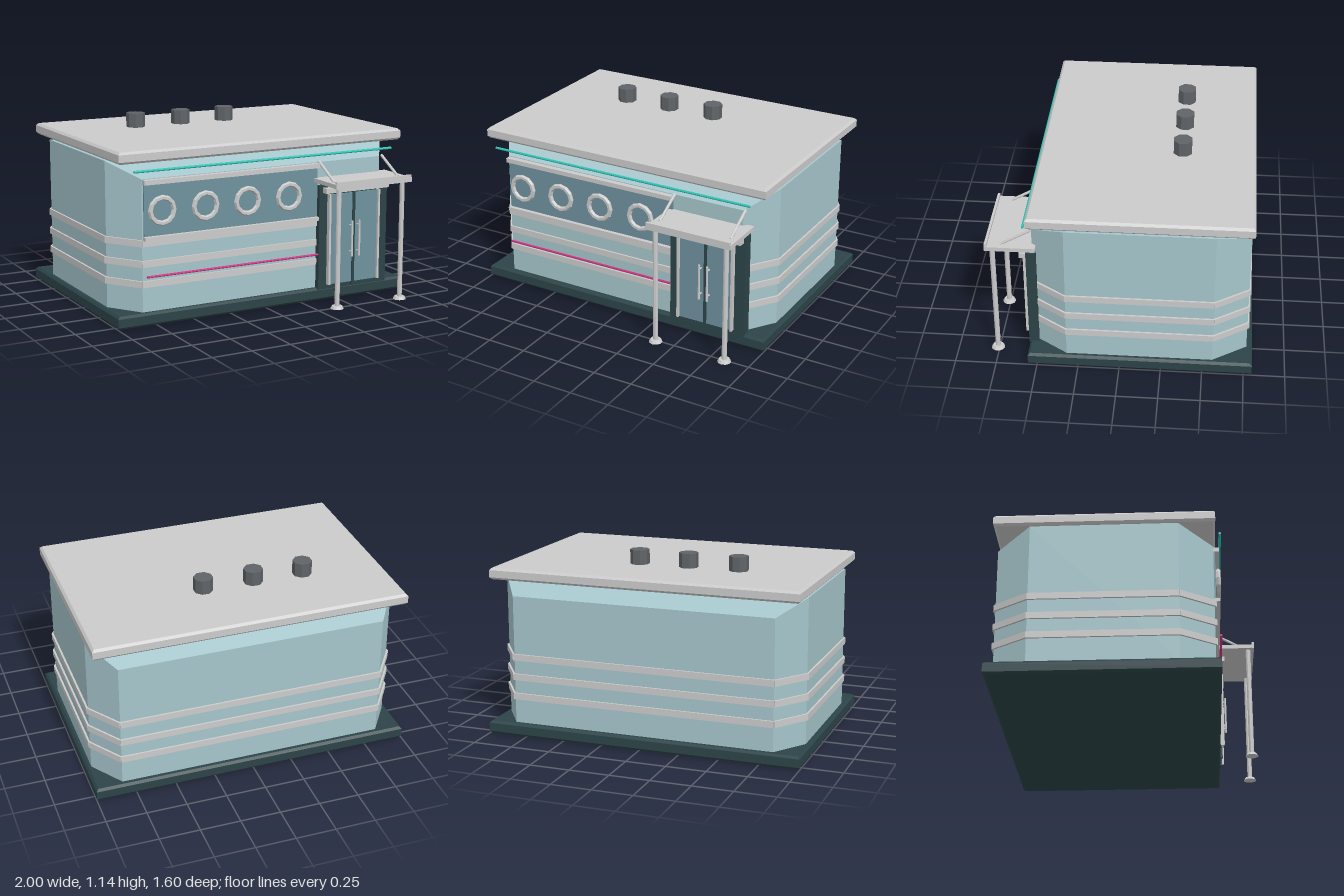
import * as THREE from 'three';

const mat = (color) => new THREE.MeshStandardMaterial({ color, flatShading: true });

export function createModel() {
  const root = new THREE.Group();
  const grey = mat(0xcccccc), wall = mat(0xa6c6cc), glass = mat(0x6f929e);
  const dark = mat(0x2c4448), vent = mat(0x5f6468), teal = mat(0x2fc4b4), pink = mat(0xd0307f);

  const add = (name, geo, m, x = 0, y = 0, z = 0) => {
    const mesh = new THREE.Mesh(geo, m);
    mesh.name = name;
    mesh.position.set(x, y, z);
    root.add(mesh);
    return mesh;
  };
  // box given by its extents on each axis
  const block = (name, m, x0, x1, y0, y1, z0, z1) =>
    add(name, new THREE.BoxGeometry(x1 - x0, y1 - y0, z1 - z0), m,
      (x0 + x1) / 2, (y0 + y1) / 2, (z0 + z1) / 2);
  // slab with chamfered edges
  const slab = (name, m, x0, x1, y0, y1, z0, z1, b) => {
    const s = new THREE.Shape([[x0 + b, -z0 - b], [x0 + b, -z1 + b], [x1 - b, -z1 + b], [x1 - b, -z0 - b]]
      .map((p) => new THREE.Vector2(...p)));
    const g = new THREE.ExtrudeGeometry(s, {
      depth: y1 - y0 - 2 * b, bevelEnabled: true, bevelSize: b, bevelThickness: b, bevelSegments: 1,
    });
    g.rotateX(-Math.PI / 2);
    return add(name, g, m, 0, y0 + b, 0);
  };
  // round rod between two points
  const rod = (name, m, a, b, r, sides = 8) => {
    const p = new THREE.Vector3(...a), q = new THREE.Vector3(...b);
    const mesh = add(name, new THREE.CylinderGeometry(r, r, p.distanceTo(q), sides), m);
    mesh.position.copy(p).add(q).multiplyScalar(0.5);
    mesh.quaternion.setFromUnitVectors(new THREE.Vector3(0, 1, 0), q.sub(p).normalize());
    return mesh;
  };

  // plinth and roof
  slab('base', dark, -1, 1, 0, 0.08, -0.8, 0.555, 0.014);
  slab('roof', grey, -0.978, 0.978, 0.976, 1.048, -0.78, 0.54, 0.014);

  // walls: cross-sections from front to back as [z, half width, top]
  const sections = [[0.525, 0.83, 0.88], [0.32, 0.97, 0.968], [-0.56, 0.97, 0.968], [-0.765, 0.83, 0.88]];
  const rings = sections.map(([z, w, t]) => [[-w, 0.07, z], [-w, t, z], [w, t, z], [w, 0.07, z]]);
  const pos = [];
  const quad = (a, b, c, d) => pos.push(...a, ...b, ...c, ...a, ...c, ...d);
  for (let i = 0; i < 3; i++) {
    for (let j = 0; j < 4; j++) {
      const k = (j + 1) % 4;
      quad(rings[i][j], rings[i][k], rings[i + 1][k], rings[i + 1][j]);
    }
  }
  quad(...[...rings[0]].reverse());
  quad(...rings[3]);
  const wallGeo = new THREE.BufferGeometry();
  wallGeo.setAttribute('position', new THREE.Float32BufferAttribute(pos, 3));
  wallGeo.computeVertexNormals();
  add('walls', wallGeo, wall);

  // trim bands around the walls, stopping at the entrance
  const plan = [[0.36, 0.525], [-0.83, 0.525], [-0.97, 0.32], [-0.97, -0.56], [-0.83, -0.765],
    [0.83, -0.765], [0.97, -0.56], [0.97, 0.32], [0.83, 0.525]];
  for (const y of [0.25, 0.373, 0.498]) {
    for (let i = 0; i < plan.length - 1; i++) {
      const [ax, az] = plan[i], [bx, bz] = plan[i + 1];
      const len = Math.hypot(bx - ax, bz - az);
      const band = add('trimBand', new THREE.BoxGeometry(len + 0.006, 0.04, 0.024), grey,
        (ax + bx) / 2, y, (az + bz) / 2);
      band.rotation.y = -Math.atan2(bz - az, bx - ax);
    }
  }

  // window strip with portholes
  block('windowPanel', glass, -0.82, 0.365, 0.53, 0.86, 0.51, 0.535);
  block('windowTrimTop', grey, -0.825, 0.365, 0.848, 0.876, 0.51, 0.56);
  block('windowTrimBottom', grey, -0.825, 0.365, 0.516, 0.538, 0.51, 0.56);
  for (const x of [-0.71, -0.425, -0.14, 0.15]) {
    add('portholeRing', new THREE.TorusGeometry(0.077, 0.016, 6, 12), grey, x, 0.69, 0.552);
    const pane = add('portholeGlass', new THREE.CylinderGeometry(0.075, 0.075, 0.03, 12), glass, x, 0.69, 0.53);
    pane.rotation.x = Math.PI / 2;
  }

  // neon tubes
  rod('upperNeonTube', teal, [-0.895, 0.934, 0.565], [0.89, 0.934, 0.565], 0.008);
  rod('lowerNeonTube', pink, [-0.815, 0.3, 0.558], [0.36, 0.3, 0.558], 0.007);

  // entrance
  block('doorFrame', dark, 0.365, 0.87, 0.07, 0.735, 0.5, 0.56);
  block('doorLintel', grey, 0.39, 0.855, 0.69, 0.722, 0.55, 0.602);
  for (const s of [-1, 1]) {
    const c = 0.612 + s * 0.095;
    block('door', glass, c - 0.085, c + 0.085, 0.1, 0.675, 0.55, 0.572);
    const j = 0.612 + s * 0.182;
    block('doorJamb', grey, j - 0.007, j + 0.007, 0.1, 0.68, 0.55, 0.588);
    const h = 0.612 + s * 0.027;
    rod('doorHandle', grey, [h, 0.27, 0.602], [h, 0.5, 0.602], 0.007);
    for (const y of [0.3, 0.47]) rod('handleMount', grey, [h, y, 0.565], [h, y, 0.602], 0.005, 6);
  }
  block('doorMullion', dark, 0.602, 0.622, 0.08, 0.69, 0.55, 0.576);

  // canopy on posts with stay rods
  block('canopy', grey, 0.34, 0.89, 0.757, 0.783, 0.5, 0.8);
  block('canopyLip', grey, 0.335, 0.885, 0.755, 0.8, 0.785, 0.8);
  for (const x of [0.378, 0.845]) {
    rod('canopyPost', grey, [x, 0.01, 0.76], [x, 0.76, 0.76], 0.016, 10);
    add('postFoot', new THREE.CylinderGeometry(0.032, 0.042, 0.018, 10), grey, x, 0.009, 0.76);
    rod('canopyStay', grey, [x, 0.885, 0.528], [x, 0.78, 0.71], 0.009);
  }

  // roof vents
  for (const x of [-0.47, -0.15, 0.17]) {
    const v = add('roofVent', new THREE.CylinderGeometry(0.06, 0.06, 0.1, 8), vent, x, 1.088, -0.33);
    v.rotation.y = Math.PI / 8;
  }
  return root;
}
